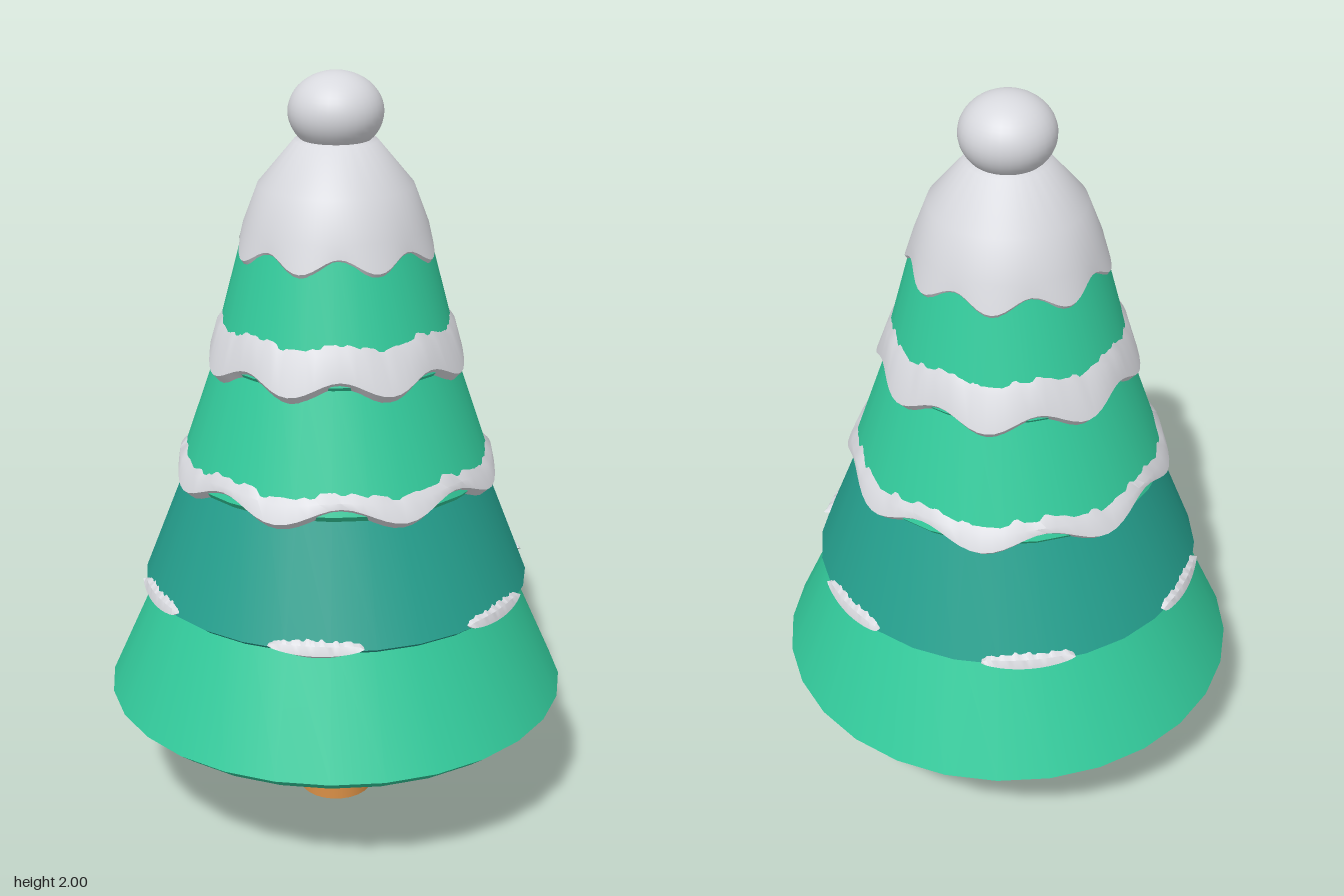
import * as THREE from 'three';
import { toCreasedNormals } from 'three/addons/utils/BufferGeometryUtils.js';

const material = (name, color) => {
  const m = new THREE.MeshStandardMaterial({ color });
  m.name = name;
  return m;
};

// Turned shape; optional rule moves each vertex: (radius, y, angle, ring) -> [radius, y]
function turned(profile, sides, rule, start = 0, length = Math.PI * 2) {
  const points = profile.map(([r, y]) => new THREE.Vector2(r, y));
  const geo = new THREE.LatheGeometry(points, sides, start, length);
  if (rule) {
    const pos = geo.attributes.position;
    for (let i = 0; i < pos.count; i++) {
      const ring = i % profile.length;
      const column = Math.floor(i / profile.length);
      const angle = start + (column / sides) * length;
      const [r, y] = rule(...profile[ring], angle, ring);
      pos.setXYZ(i, r * Math.sin(angle), y, r * Math.cos(angle));
    }
  }
  return toCreasedNormals(geo, 0.75);
}

export function createModel() {
  const green = material('pine green', 0x33cb9c);
  const teal = material('deep teal', 0x25a08e);
  const snow = material('snow', 0xd8d9de);
  const wood = material('wood', 0xd98f46);
  snow.side = THREE.DoubleSide;

  const tree = new THREE.Group();
  tree.name = 'snowyTree';
  const add = (name, geo, mat) => {
    const mesh = new THREE.Mesh(geo, mat);
    mesh.name = name;
    tree.add(mesh);
    return mesh;
  };

  // Trunk
  add('trunk', new THREE.CylinderGeometry(0.097, 0.097, 0.4, 24), wood).position.y = 0.2;

  // Foliage tiers, each a cone with a bevelled lower rim
  const tiers = [
    ['bottomTier', green, [[0, 0.315], [0.565, 0.315], [0.612, 0.352], [0.465, 0.68], [0, 0.7]]],
    ['tealTier', teal, [[0, 0.655], [0.495, 0.655], [0.51, 0.667], [0.38, 1.0], [0, 1.02]]],
    ['middleTier', green, [[0, 0.965], [0.395, 0.965], [0.41, 0.982], [0.305, 1.29], [0, 1.3]]],
    ['upperTier', green, [[0, 1.275], [0.31, 1.275], [0.318, 1.285], [0.23, 1.62], [0, 1.64]]],
  ];
  for (const [name, mat, profile] of tiers) add(name, turned(profile, 28), mat);

  // Scalloped snow: eight drooping waves at the lower edge, ragged upper edge
  const scallop = (amount, top, jag) => (r, y, t, ring) => {
    const droop = ring < 2 ? amount * Math.cos(8 * t) : 0;
    const ragged = ring === top ? jag * (Math.sin(23 * t) + Math.sin(37 * t + 1)) / 2 : 0;
    const sway = ring >= 2 && top > 0 ? -0.3 * amount * Math.cos(8 * t) : 0;
    return [r + droop * 0.4, y - droop + ragged + sway];
  };
  add('lowerSnowBand', turned(
    [[0.398, 0.962], [0.42, 0.982], [0.409, 1.012], [0.378, 1.042]], 96, scallop(0.022, 3, 0.01)), snow);
  add('upperSnowBand', turned(
    [[0.312, 1.258], [0.332, 1.28], [0.306, 1.36], [0.277, 1.397]], 96, scallop(0.02, 3, 0.008)), snow);

  // Snow cap and ball on top
  add('snowCap', turned(
    [[0.236, 1.547], [0.25, 1.567], [0.235, 1.62], [0.197, 1.72], [0.105, 1.83], [0, 1.85]],
    96, scallop(0.019, -1, 0)), snow);
  const ball = add('topBall', new THREE.SphereGeometry(0.12, 32, 24), snow);
  ball.scale.y = 0.1 / 0.12;
  ball.position.y = 1.9;

  // Six small snow patches on the teal rim, tapering at both ends
  const half = 0.235;
  for (let k = 0; k < 6; k++) {
    const centre = Math.PI / 2 + k * Math.PI / 3;
    const taper = (r, y, t, ring) => {
      const u = (t - centre) / half;
      const size = Math.sqrt(Math.max(0, 1 - u * u));
      const ragged = ring === 3 ? 0.005 * Math.sin(40 * u + k) * size : 0;
      return [r, 0.668 + 0.008 * u * u + (y - 0.668) * size + ragged];
    };
    add('snowPatch' + (k + 1), turned(
      [[0.495, 0.642], [0.52, 0.658], [0.513, 0.682], [0.488, 0.697]],
      20, taper, centre - half, half * 2), snow);
  }
  return tree;
}
